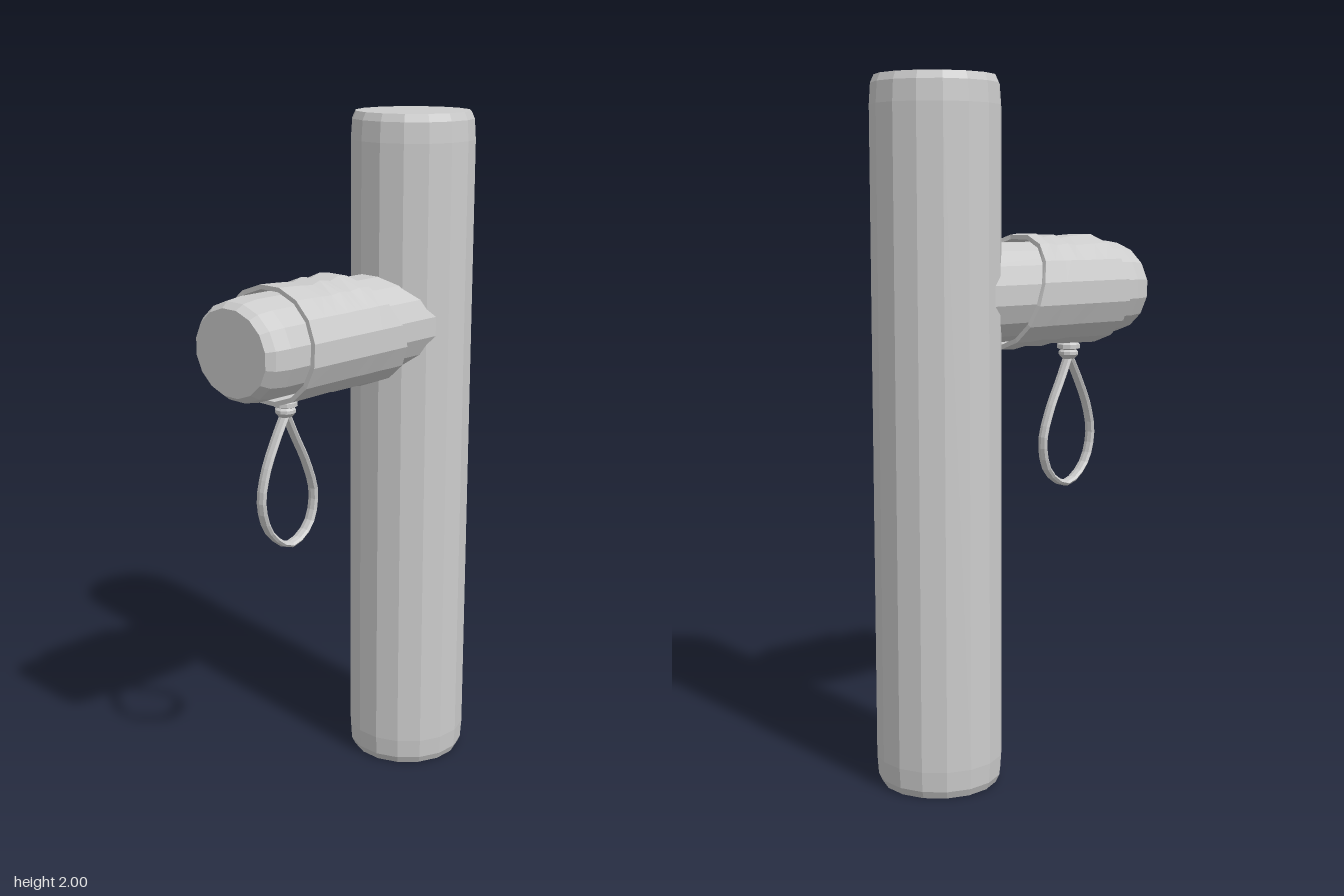
import * as THREE from 'three';

const SIDES = 16;
const V = (x, y) => new THREE.Vector2(x, y);

// Faceted lathe with flats facing the main axes
function turned(points, sides = SIDES) {
  return new THREE.LatheGeometry(points.map(([r, y]) => V(r, y)), sides, Math.PI / sides);
}

export function createModel() {
  const grey = new THREE.MeshStandardMaterial({ color: 0xcccccc, flatShading: true });
  const group = new THREE.Group();
  const add = (name, geometry) => {
    const mesh = new THREE.Mesh(geometry, grey);
    mesh.name = name;
    group.add(mesh);
    return mesh;
  };

  // Upright post with softened ends
  const post = add('post', turned([
    [0, 0], [0.168, 0], [0.178, 0.022], [0.182, 0.08],
    [0.182, 1.92], [0.178, 1.978], [0.168, 2], [0, 2],
  ]));
  post.position.z = -0.27;

  // Side branch, slightly flattened, running from the post to the front
  const branchGeo = turned([
    [0, -0.27], [0.166, -0.27], [0.166, 0.38], [0.158, 0.428], [0.14, 0.45], [0, 0.45],
  ]);
  branchGeo.rotateX(Math.PI / 2).scale(1, 0.87, 1);
  add('branch', branchGeo).position.y = 1.402;

  // Wrapped sleeve: closed shell, slanted rear edge and shallow wrinkles
  const folds = [[0, 0], [0.13, -0.004], [0.25, 0.007], [0.33, 0.003], [0.41, 0],
    [0.52, 0.01], [0.65, 0.006], [0.8, 0.003], [1, 0]];
  const inner = 0.922;
  const sleeveGeo = turned([
    ...folds.map(([t]) => [1, t]), [inner, 1], [inner, 0], [1, 0],
  ]);
  sleeveGeo.rotateX(Math.PI / 2);
  const p = sleeveGeo.attributes.position;
  for (let i = 0; i < p.count; i++) {
    const x = p.getX(i), y = p.getY(i), t = p.getZ(i);
    const r = Math.hypot(x, y), n = y / r;
    const back = -0.04 + 0.0525 * n + 0.0325 * n * n;
    const front = 0.318 - 0.01 * n - 0.005 * n * n;
    const fold = folds.find(([ft]) => Math.abs(ft - t) < 0.001)[1];
    const dent = r > 0.96 ? fold * n ** 4 * (n > 0 ? 1 : 0.7) : 0;
    p.setXYZ(i, x * 0.19, y * 0.166 - Math.sign(y) * dent, back + (front - back) * t);
  }
  sleeveGeo.computeVertexNormals();
  add('sleeve', sleeveGeo).position.y = 1.402;

  // Small knot under the sleeve
  const knot = add('knot', turned([
    [0, 1.188], [0.018, 1.19], [0.03, 1.203], [0.03, 1.212],
    [0.024, 1.218], [0.035, 1.222], [0.035, 1.234], [0.022, 1.25], [0, 1.25],
  ], 10));
  knot.position.z = 0.25;

  // Teardrop hanging loop, widened into a strap
  const path = new THREE.CatmullRomCurve3([
    [1.2, 0.25], [1.13, 0.289], [1.04, 0.33], [0.95, 0.346], [0.86, 0.316],
    [0.808, 0.24], [0.85, 0.167], [0.94, 0.143], [1.04, 0.172], [1.13, 0.217], [1.2, 0.25],
  ].map(([y, z]) => new THREE.Vector3(0, y, z)));
  const loopGeo = new THREE.TubeGeometry(path, 28, 0.0095, 8, false);
  loopGeo.scale(1.95, 1, 1);
  add('hangingLoop', loopGeo);

  return group;
}
